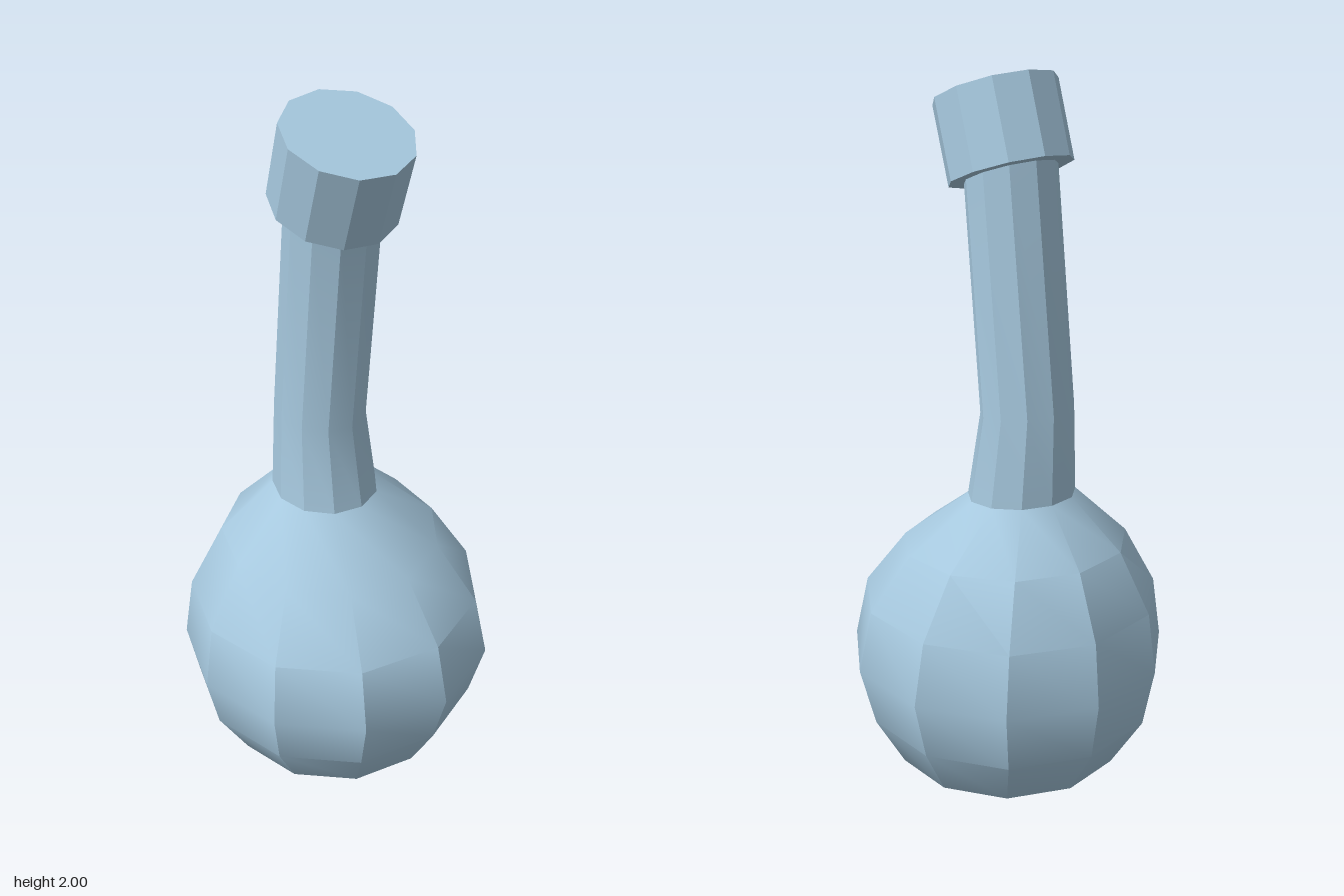
import * as THREE from 'three';
import { toCreasedNormals } from 'three/addons/utils/BufferGeometryUtils.js';

const SIDES = 11;
const UP = new THREE.Vector3(0, 1, 0);

// Skin a stack of tilted rings: [radius, centre, axis]; radius 0 makes a closed end.
function loft(rings) {
  const positions = [];
  const indices = [];
  for (const [radius, centre, axis = [0, 1, 0]] of rings) {
    const turn = new THREE.Quaternion().setFromUnitVectors(UP, new THREE.Vector3(...axis).normalize());
    for (let k = 0; k < SIDES; k++) {
      const a = (k / SIDES) * Math.PI * 2 + 0.015;
      const p = new THREE.Vector3(radius * Math.cos(a), 0, radius * Math.sin(a));
      p.applyQuaternion(turn).add(new THREE.Vector3(...centre));
      positions.push(p.x, p.y, p.z);
    }
  }
  for (let i = 0; i < rings.length - 1; i++) {
    for (let k = 0; k < SIDES; k++) {
      const next = (k + 1) % SIDES;
      const a = i * SIDES + k, d = i * SIDES + next;
      const b = a + SIDES, c = d + SIDES;
      if (rings[i + 1][0] > 0) indices.push(a, b, c);
      if (rings[i][0] > 0) indices.push(a, c, d);
    }
  }
  const geometry = new THREE.BufferGeometry();
  geometry.setAttribute('position', new THREE.Float32BufferAttribute(positions, 3));
  geometry.setIndex(indices);
  return toCreasedNormals(geometry, THREE.MathUtils.degToRad(30));
}

export function createModel() {
  const group = new THREE.Group();
  group.name = 'flask';
  const material = new THREE.MeshStandardMaterial({ color: 0xa6c8de });
  const add = (name, rings) => {
    const mesh = new THREE.Mesh(loft(rings), material);
    mesh.name = name;
    group.add(mesh);
  };

  const neckBase = [0.145, [-0.067, 0.91, -0.016], [0.07, 1, 0]];
  const capAxis = [0.36, 1, 0.08];
  const capBottom = [-0.015, 1.745, 0];
  const capTop = [0.055, 1.94, 0.02];

  // Round body, drifting sideways toward the neck
  add('bulb', [
    [0, [-0.01, 0, 0]],
    [0.168, [-0.008, 0.04, 0]],
    [0.316, [-0.006, 0.135, 0]],
    [0.4, [-0.012, 0.28, 0]],
    [0.436, [-0.005, 0.44, 0]],
    [0.405, [-0.014, 0.61, 0]],
    [0.304, [-0.04, 0.772, -0.01], [0.03, 1, 0]],
    neckBase,
  ]);

  // Bent neck
  add('neck', [
    neckBase,
    [0.124, [-0.088, 1.145, -0.02], [0.12, 1, 0]],
    [0.122, [-0.017, 1.745, -0.003], capAxis],
  ]);

  // Tilted collar with a closed top
  add('cap', [
    [0, capBottom, capAxis],
    [0.163, capBottom, capAxis],
    [0.163, capTop, capAxis],
    [0, capTop, capAxis],
  ]);

  return group;
}
